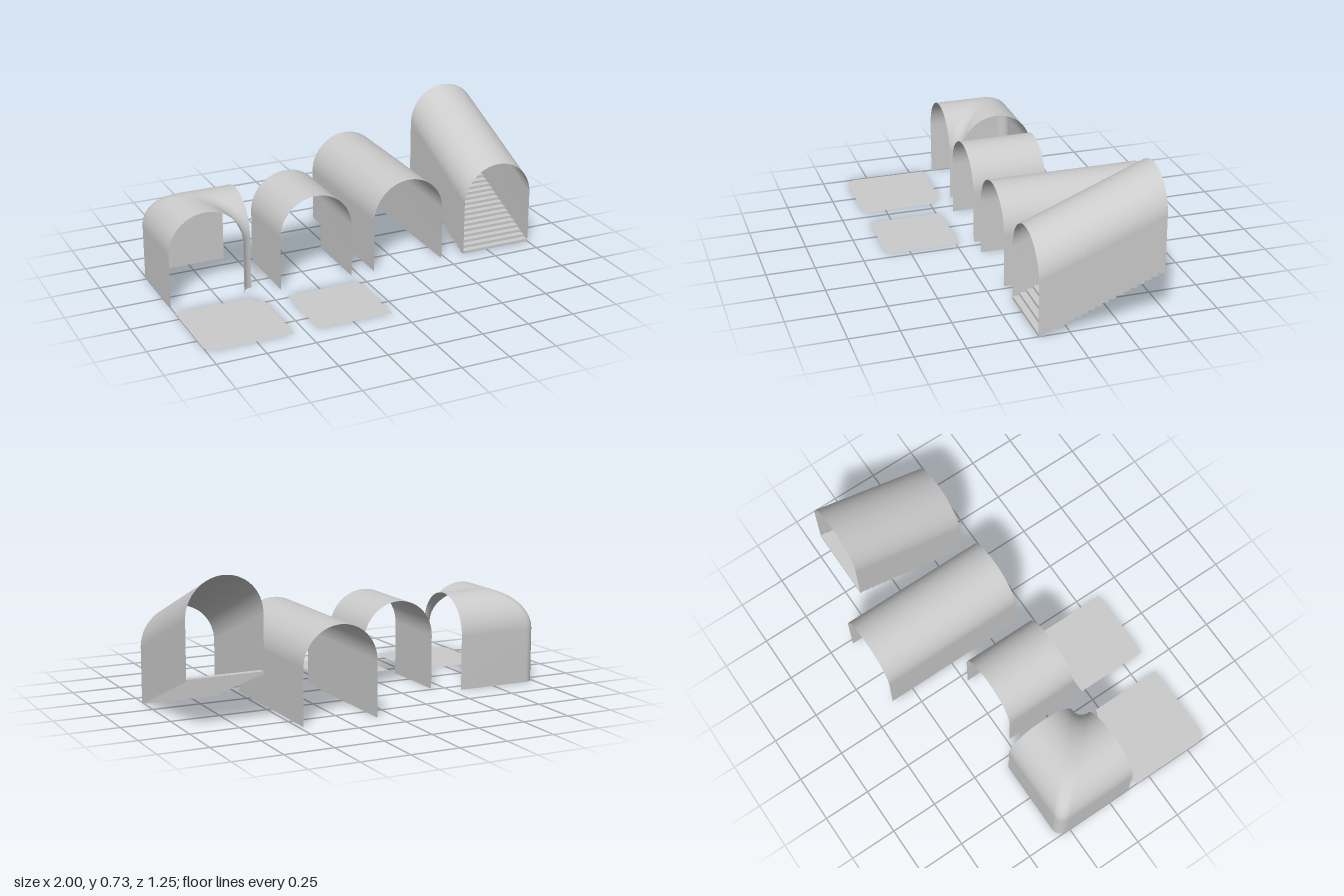
import * as THREE from 'three';

const W = 0.39;          // passage width
const R = W / 2;         // vault radius
const SPRING = 0.28;     // height where the vault starts
const FRONT = 0.155;     // shared front line of the tunnels
const FILLET = 0.054;    // rounding of the corner piece

const material = new THREE.MeshStandardMaterial({ color: 0xcccccc, side: THREE.DoubleSide });

function add(parent, geometry, name) {
  const mesh = new THREE.Mesh(geometry, material);
  mesh.name = name;
  parent.add(mesh);
  return mesh;
}

// Arch outline: [offset from centre, height], from the -x foot over the crown to the +x foot
function archProfile(foot = 0, rise = 0, segments = 32) {
  const points = [[-R, foot]];
  for (let i = 0; i <= segments; i++) {
    const a = Math.PI * (1 - i / segments);
    points.push([R * Math.cos(a), SPRING + rise + R * Math.sin(a)]);
  }
  points.push([R, foot]);
  return points;
}

// Skin through equally long cross-sections of [x, y, z] points
function loft(sections) {
  const n = sections[0].length;
  const index = [];
  for (let i = 0; i < sections.length - 1; i++) {
    for (let j = 0; j < n - 1; j++) {
      const a = i * n + j, b = a + n;
      index.push(a, a + 1, b, a + 1, b + 1, b);
    }
  }
  const geometry = new THREE.BufferGeometry();
  geometry.setAttribute('position', new THREE.Float32BufferAttribute(sections.flat(2), 3));
  geometry.setIndex(index);
  geometry.computeVertexNormals();
  return geometry;
}

const archSection = (x, z, foot, rise) => archProfile(foot, rise).map(([u, y]) => [x + u, y, z]);

// Straight vaulted tunnel
function tunnel(x, length) {
  return loft([archSection(x, FRONT), archSection(x, FRONT - length)]);
}

// Vaulted bend from the +z opening to the +x opening, all paths filleted
function cornerTunnel() {
  const endX = -0.555, endZ = 0.12, inner = 0.055, steps = 12;
  const profile = archProfile();
  const fillet = (a) => profile.map(([u, y]) => {
    const s = R - u; // distance from the inner wall
    const cx = endX - inner - s + FILLET, cz = endZ - inner - s + FILLET;
    return [cx - FILLET * Math.cos(a), y, cz - FILLET * Math.sin(a)];
  });
  const sections = [profile.map(([u, y]) => [endX - inner - R + u, y, endZ])];
  for (let i = 0; i <= steps; i++) sections.push(fillet((i / steps) * Math.PI / 2));
  sections.push(profile.map(([u, y]) => [endX, y, endZ - inner - R + u]));
  return loft(sections);
}

// Flat floor for the bend: rounded outer corner, round notch at the inner one
function cornerFloorGeometry() {
  const r = 0.055, size = W + r;
  const shape = new THREE.Shape();
  shape.moveTo(r, 0);
  shape.lineTo(size, 0);
  shape.lineTo(size, size - r);
  shape.absarc(size, size, r, -Math.PI / 2, -Math.PI, true);
  shape.lineTo(0, size);
  shape.lineTo(0, r);
  shape.absarc(r, r, r, Math.PI, Math.PI * 1.5, false);
  return new THREE.ShapeGeometry(shape, 12).rotateX(-Math.PI / 2);
}

// Sloping tunnel with stepped feet, and its flight of steps
function stairway(x) {
  const group = new THREE.Group();
  group.name = 'stairway';
  const count = 18, rise = 0.25 / count, run = 0.625 / count;
  const sections = [];
  for (let i = 0; i < count; i++) {
    const z = FRONT - i * run;
    sections.push(archSection(x, z, i * rise, i * rise));
    sections.push(archSection(x, z - run, i * rise, (i + 1) * rise));
    const step = add(group, new THREE.BoxGeometry(W - 0.002, rise, run), 'step');
    step.position.set(x, (i + 0.5) * rise, z - run / 2);
  }
  add(group, loft(sections), 'stairVault');
  return group;
}

export function createModel() {
  const model = new THREE.Group();
  model.name = 'tunnelKit';

  // Vaults
  add(model, cornerTunnel(), 'cornerVault');
  add(model, tunnel(-0.235, W), 'shortVault');
  add(model, tunnel(0.283, 2 * W), 'longVault');
  model.add(stairway(1 - R));

  // Floors
  add(model, cornerFloorGeometry(), 'cornerFloor').position.set(-1, 0, 0.62);
  const floor = new THREE.PlaneGeometry(W, W).rotateX(-Math.PI / 2);
  add(model, floor, 'straightFloor').position.set(-0.235, 0, 0.62 - R);

  return model;
}
